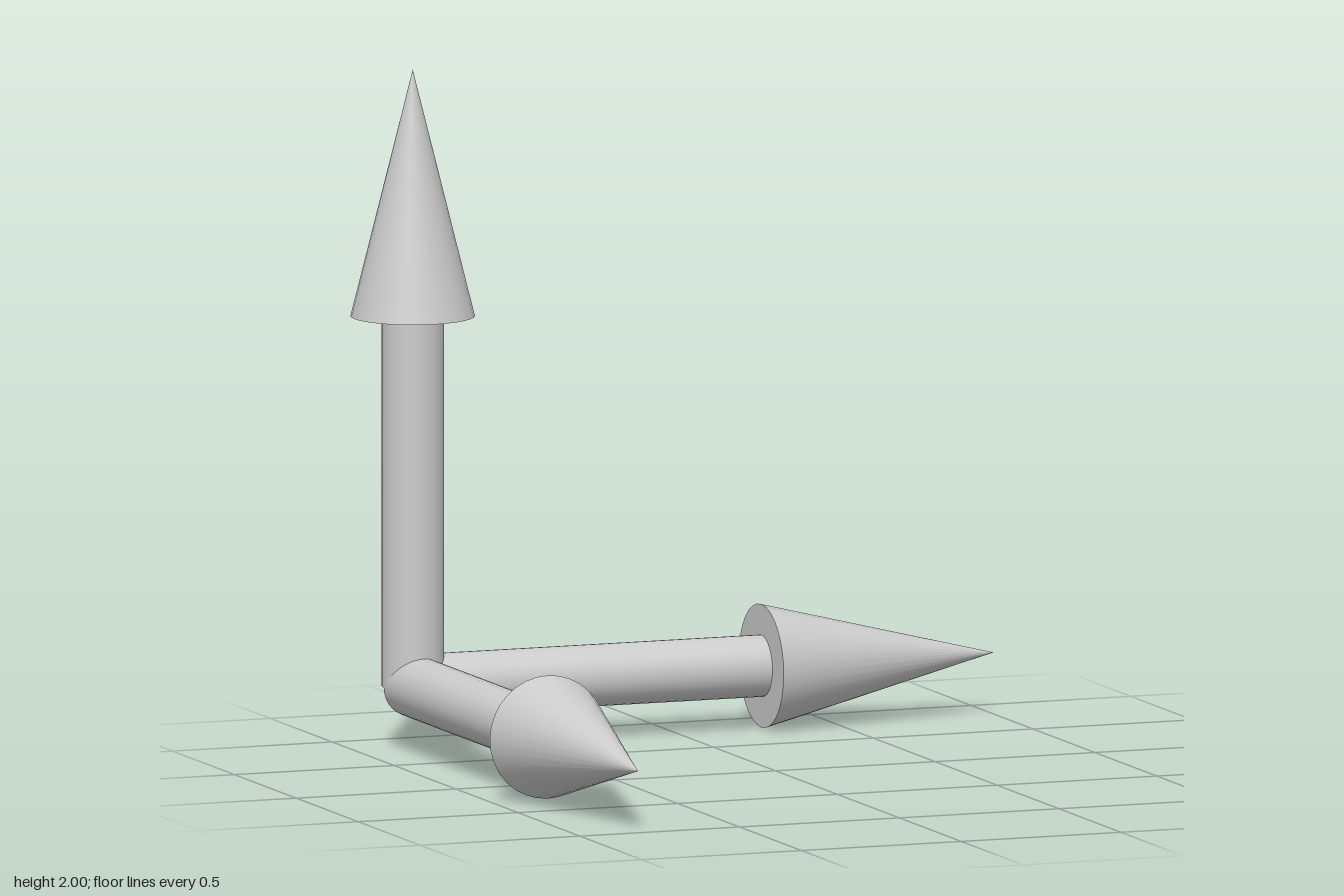
import * as THREE from 'three';

const UNIT = 2 / 11; // head radius; the arrow is ten of these long
const SIDES = 32;

// One arrow pointing along +y from its own origin
function makeArrow(name, material) {
  const arrow = new THREE.Group();
  arrow.name = name;

  const shaft = new THREE.Mesh(
    new THREE.CylinderGeometry(UNIT / 2, UNIT / 2, UNIT * 6, SIDES), material);
  shaft.name = name + 'Shaft';
  shaft.position.y = UNIT * 3;

  const head = new THREE.Mesh(new THREE.ConeGeometry(UNIT, UNIT * 4, SIDES), material);
  head.name = name + 'Head';
  head.position.y = UNIT * 8;

  arrow.add(shaft, head);
  return arrow;
}

export function createModel() {
  const model = new THREE.Group();
  model.name = 'axisArrows';
  const material = new THREE.MeshStandardMaterial({ color: 0xcccccc });

  // Three arrows meeting at the shared corner
  const up = makeArrow('upArrow', material);
  const side = makeArrow('sideArrow', material);
  side.rotation.z = -Math.PI / 2;
  const front = makeArrow('frontArrow', material);
  front.rotation.x = Math.PI / 2;

  for (const arrow of [up, side, front]) {
    arrow.position.set(UNIT - 1, UNIT, UNIT - 1);
    model.add(arrow);
  }
  return model;
}
